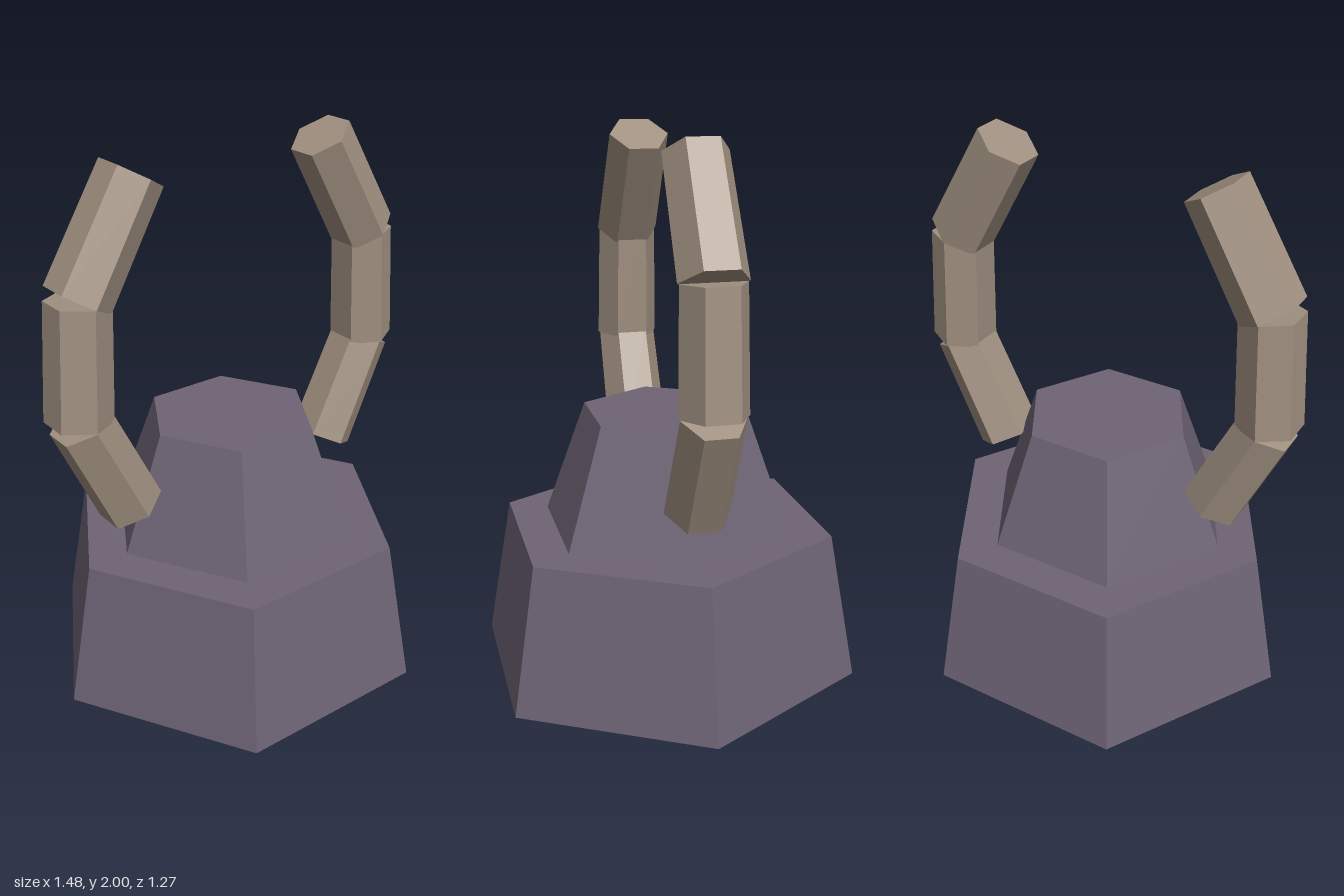
import * as THREE from 'three';

export function createModel() {
  const model = new THREE.Group();
  model.name = 'hornedPedestal';

  const stone = new THREE.MeshStandardMaterial({ color: 0x6e6475, flatShading: true });
  stone.name = 'purple grey stone';
  const horn = new THREE.MeshStandardMaterial({ color: 0xa09080, flatShading: true });
  horn.name = 'bone beige';

  // Tapered hexagonal plinth tiers, corners pointing along x
  const addTier = (name, rTop, rBottom, y0, y1) => {
    const geometry = new THREE.CylinderGeometry(rTop, rBottom, y1 - y0, 6, 1, false, Math.PI / 2);
    const tier = new THREE.Mesh(geometry, stone);
    tier.name = name;
    tier.position.y = (y0 + y1) / 2;
    model.add(tier);
  };
  addTier('lowerTier', 0.635, 0.735, 0, 0.545);
  addTier('upperTier', 0.315, 0.475, 0.545, 0.982);

  // Curved horns, each made of three slightly tapered hexagonal segments
  const segments = [
    ['hornRoot', [0.45, 0.752], [0.635, 1.135]],
    ['hornMiddle', [0.638, 1.139], [0.617, 1.568]],
    ['hornTip', [0.617, 1.57], [0.395, 1.952]],
  ];
  const up = new THREE.Vector3(0, 1, 0);
  for (const [side, name] of [[1, 'leftHorn'], [-1, 'rightHorn']]) {
    const group = new THREE.Group();
    group.name = name;
    for (const [part, a, b] of segments) {
      const start = new THREE.Vector3(side * a[0], a[1], 0);
      const end = new THREE.Vector3(side * b[0], b[1], 0);
      const axis = end.clone().sub(start);
      const mesh = new THREE.Mesh(new THREE.CylinderGeometry(0.113, 0.119, axis.length(), 6), horn);
      mesh.name = part;
      mesh.position.copy(start).add(end).multiplyScalar(0.5);
      mesh.quaternion.setFromUnitVectors(up, axis.normalize());
      group.add(mesh);
    }
    model.add(group);
  }
  return model;
}
